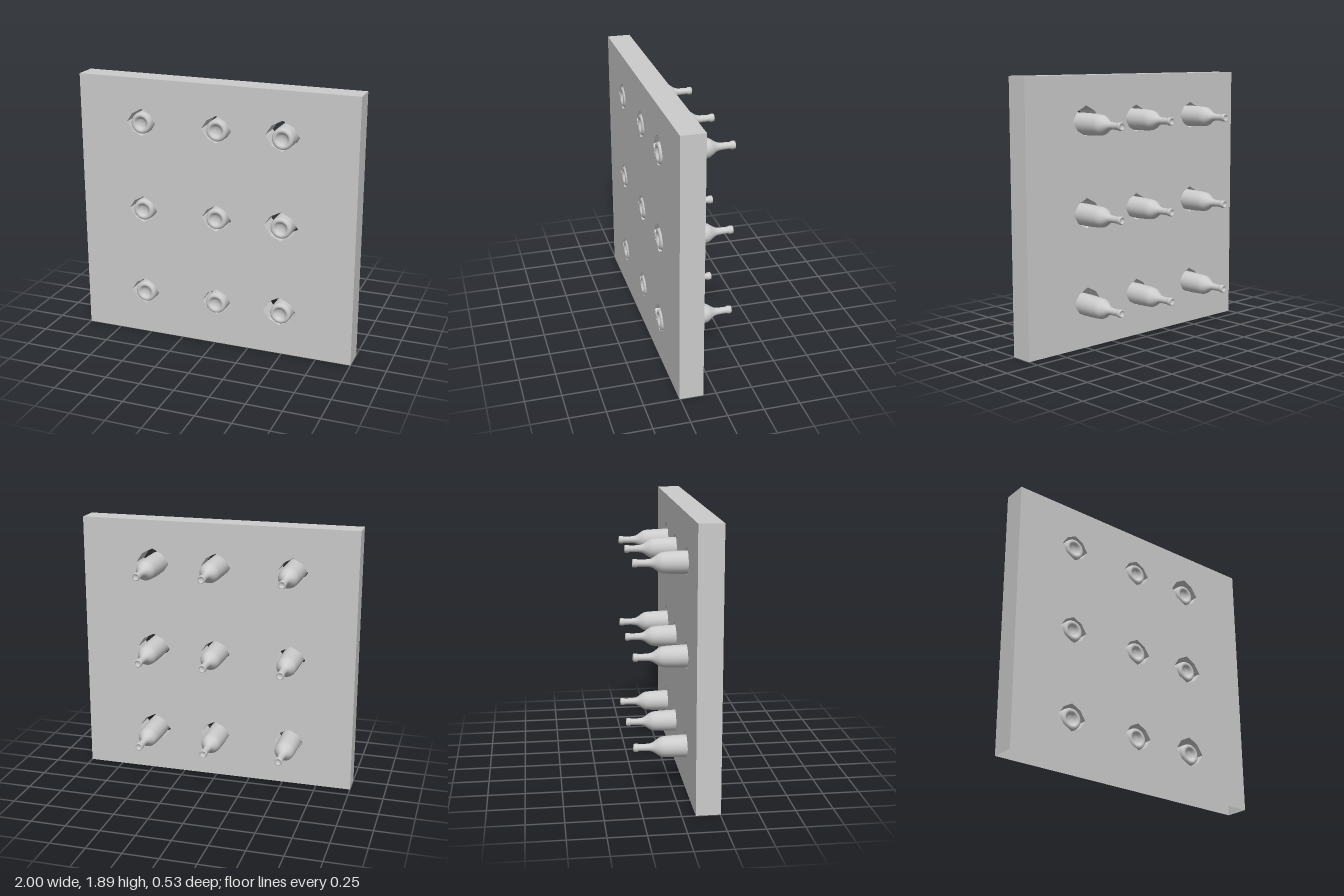
import * as THREE from 'three';

const material = new THREE.MeshStandardMaterial({ color: 0xcccccc, side: THREE.DoubleSide });
const flatMaterial = new THREE.MeshStandardMaterial({ color: 0xcccccc, side: THREE.DoubleSide, flatShading: true });

const HEIGHT = 1.89, BACK = 0.09, FRONT = 0.255;
const ROWS = [0.32, 0.947, 1.58];

// Hole columns: centre x, half width, reach above and below the centre
const COLUMNS = [
  { x: -0.54, w: 0.106, up: 0.096, down: 0.096 },
  { x: 0.013, w: 0.108, up: 0.096, down: 0.096 },
  { x: 0.48, w: 0.121, up: 0.107, down: 0.104 },
];

// Bottle centres [x, y], by row then column
const BOTTLES = [
  [[-0.542, 0.31], [0.003, 0.304], [0.484, 0.303]],
  [[-0.542, 0.942], [0.008, 0.941], [0.478, 0.936]],
  [[-0.542, 1.573], [0.013, 1.572], [0.478, 1.56]],
];

// Eight-sided rounded diamond
function diamondHole({ x, w, up, down }, y) {
  const k = 0.63;
  return new THREE.Path([
    [w, 0], [w * k, up * k], [0, up], [-w * k, up * k],
    [-w, 0], [-w * k, -down * k], [0, -down], [w * k, -down * k],
  ].map(([dx, dy]) => new THREE.Vector2(x + dx, y + dy)));
}

// Hollow board pierced by the holes, open along its bottom edge
function createPanel() {
  const shape = new THREE.Shape([[-1, 0], [1, 0], [1, HEIGHT], [-1, HEIGHT]].map(([x, y]) => new THREE.Vector2(x, y)));
  for (const y of ROWS) for (const column of COLUMNS) shape.holes.push(diamondHole(column, y));
  const solid = new THREE.ExtrudeGeometry(shape, { depth: FRONT - BACK, bevelEnabled: false });
  const p = solid.attributes.position;
  const kept = [];
  for (let i = 0; i < p.count; i += 3) {
    if ([0, 1, 2].every((j) => Math.abs(p.getY(i + j)) < 1e-6)) continue;
    for (let j = 0; j < 3; j++) kept.push(p.getX(i + j), p.getY(i + j), p.getZ(i + j));
  }
  const geometry = new THREE.BufferGeometry();
  geometry.setAttribute('position', new THREE.Float32BufferAttribute(kept, 3));
  geometry.computeVertexNormals();
  geometry.translate(0, 0, BACK);
  const panel = new THREE.Mesh(geometry, flatMaterial);
  panel.name = 'panel';
  return panel;
}

// Bottle profile [radius, length] from the hollow base to the lip and mouth
function createBottleGeometry() {
  const profile = [
    [0, -0.235], [0.022, -0.237], [0.036, -0.245], [0.045, -0.257], [0.052, -0.261],
    [0.062, -0.26], [0.07, -0.255], [0.074, -0.245], [0.076, -0.225],
    [0.076, -0.08], [0.074, 0], [0.071, 0.055], [0.068, 0.075], [0.061, 0.092],
    [0.049, 0.11], [0.038, 0.125], [0.03, 0.14], [0.026, 0.157], [0.024, 0.18],
    [0.023, 0.23], [0.027, 0.234], [0.028, 0.242], [0.028, 0.255], [0.026, 0.263],
    [0.022, 0.265], [0.018, 0.262], [0.017, 0.25], [0, 0.25],
  ].map(([r, l]) => new THREE.Vector2(r, l));
  return new THREE.LatheGeometry(profile, 32).rotateX(-Math.PI / 2);
}

export function createModel() {
  const model = new THREE.Group();
  model.name = 'bottleRack';
  model.add(createPanel());

  // Bottles lie with the base in the panel and the neck to the back
  const geometry = createBottleGeometry();
  BOTTLES.forEach((row, r) => row.forEach(([x, y], c) => {
    const bottle = new THREE.Mesh(geometry, material);
    bottle.name = `bottleRow${r + 1}Column${c + 1}`;
    bottle.position.set(x, y, 0);
    model.add(bottle);
  }));
  return model;
}
